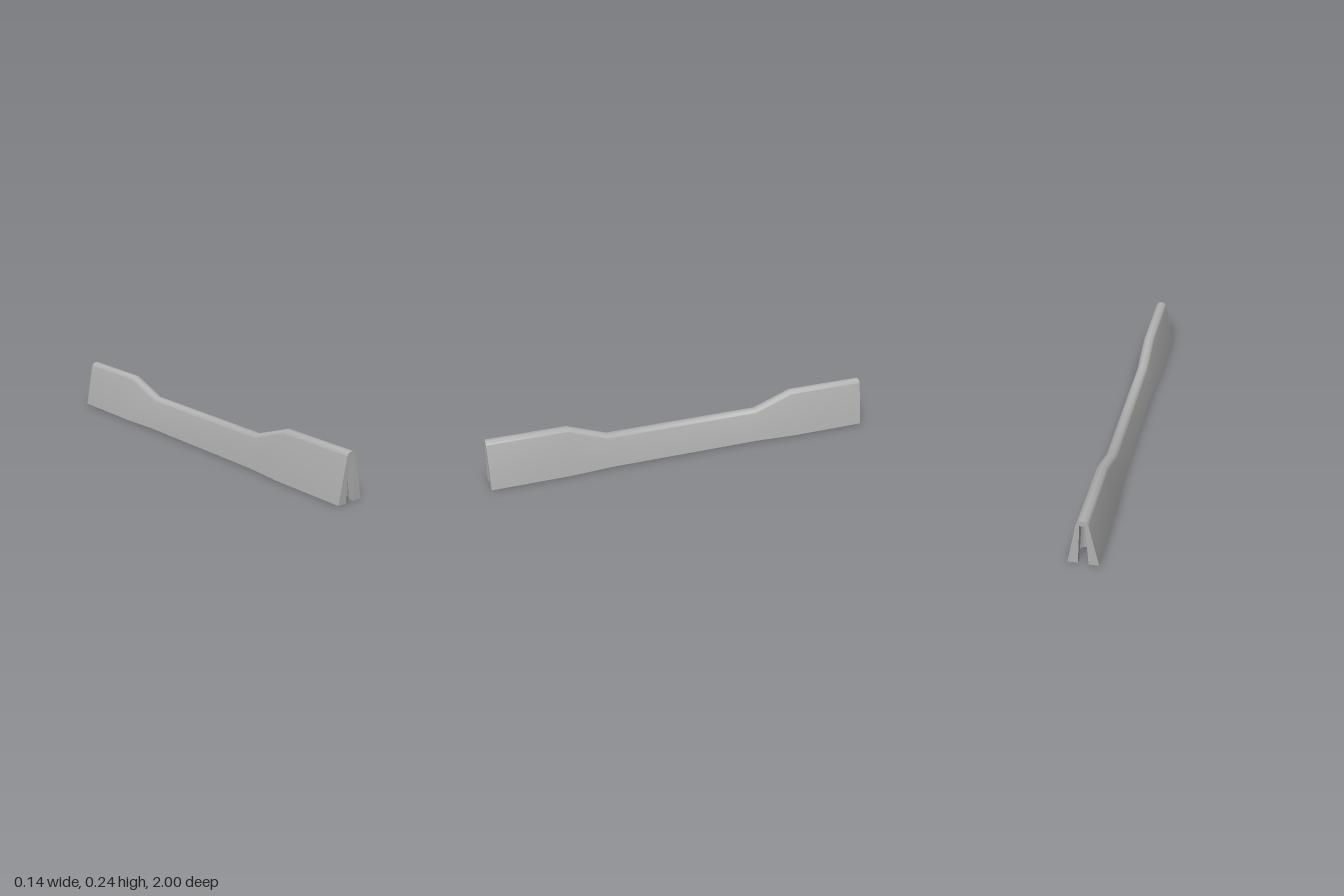
import * as THREE from 'three';
import { toCreasedNormals } from 'three/addons/utils/BufferGeometryUtils.js';

const TOP = 0.239, LOW = 0.165;        // crest heights at the ends and in the middle
const CREST_R = 0.03, TILT = 0.192;    // rounded crest radius, lean of the sides
const POCKET_H = 0.213, POCKET_Z = 0.935, POCKET_R = 0.045, SLOT = 0.024;
const V2 = (x, y) => new THREE.Vector2(x, y);

// Cross-section from the right foot over the crest to the left foot
function profile(top) {
  const cy = top - CREST_R, pts = [], n = 16;
  for (let i = 0; i <= n; i++) {
    const a = TILT + (Math.PI - 2 * TILT) * i / n;
    pts.push(V2(CREST_R * Math.cos(a), cy + CREST_R * Math.sin(a)));
  }
  const foot = pts[0].x + pts[0].y * Math.tan(TILT);
  return [V2(foot, 0), ...pts, V2(-foot, 0)];
}

// Keyhole plan (x, z) of the end pocket, narrowing by k towards its ceiling
function keyhole(k) {
  const r = POCKET_R * k, s = SLOT * k, n = 28;
  const a0 = Math.acos(s / r), pts = [V2(s, 1)];
  for (let i = 0; i <= n; i++) {
    const a = a0 - (Math.PI + 2 * a0) * i / n;
    pts.push(V2(r * Math.cos(a), POCKET_Z + r * Math.sin(a)));
  }
  return [...pts, V2(-s, 1)];
}

// Skin through rows of 3D points
function loft(rows) {
  const w = rows[0].length, index = [];
  for (let i = 0; i < rows.length - 1; i++) {
    for (let j = 0; j < w - 1; j++) {
      const a = i * w + j, b = a + 1, c = a + w, d = c + 1;
      index.push(a, b, c, b, d, c);
    }
  }
  const g = new THREE.BufferGeometry().setFromPoints(rows.flat());
  g.setIndex(index);
  return toCreasedNormals(g, 0.6);
}

// Flat face in plan, looking down, at height y
function underside(pts, y) {
  return new THREE.ShapeGeometry(new THREE.Shape(pts)).rotateX(Math.PI / 2).translate(0, y, 0);
}

export function createModel() {
  const concrete = new THREE.MeshStandardMaterial({ color: 0xb0b0b0 });
  concrete.name = 'concrete grey';
  const model = new THREE.Group();
  model.name = 'barrier';
  const add = (parent, name, geometry) => {
    const mesh = new THREE.Mesh(geometry, concrete);
    mesh.name = name;
    parent.add(mesh);
  };

  // Sides and crest, dipping in the middle
  const stations = [[-1, TOP], [-0.6, TOP], [-0.4, LOW], [0.4, LOW], [0.6, TOP], [1, TOP]];
  add(model, 'sidesAndCrest', loft(stations.map(([z, top]) =>
    profile(top).map(p => new THREE.Vector3(p.x, p.y, z)))));

  const outline = profile(TOP), foot = outline[0].x, waist = profile(LOW)[0].x;
  const low = keyhole(1), high = keyhole(0.5);
  const at = (pts, y) => pts.map(p => new THREE.Vector3(p.x, y, p.y));

  // Two equal ends, each with a tapered keyhole pocket
  for (const [name, turn] of [['frontEnd', 0], ['backEnd', Math.PI]]) {
    const end = new THREE.Group();
    end.name = name;
    end.rotation.y = turn;
    add(end, 'endFace', new THREE.ShapeGeometry(new THREE.Shape([
      ...outline, V2(-SLOT, 0), V2(-SLOT / 2, POCKET_H), V2(SLOT / 2, POCKET_H), V2(SLOT, 0)])));
    end.children[0].position.z = 1;
    // rows run up the wall so that the faces look into the pocket
    add(end, 'pocketWall', loft(low.map((p, i) =>
      [at([p], 0)[0], at([high[i]], POCKET_H)[0]])));
    add(end, 'pocketCeiling', underside(high, POCKET_H));
    add(end, 'base', underside([
      V2(-waist, 0), V2(waist, 0), V2(waist, 0.4), V2(foot, 0.6), V2(foot, 1),
      ...low, V2(-foot, 1), V2(-foot, 0.6), V2(-waist, 0.4)], 0));
    model.add(end);
  }
  return model;
}
